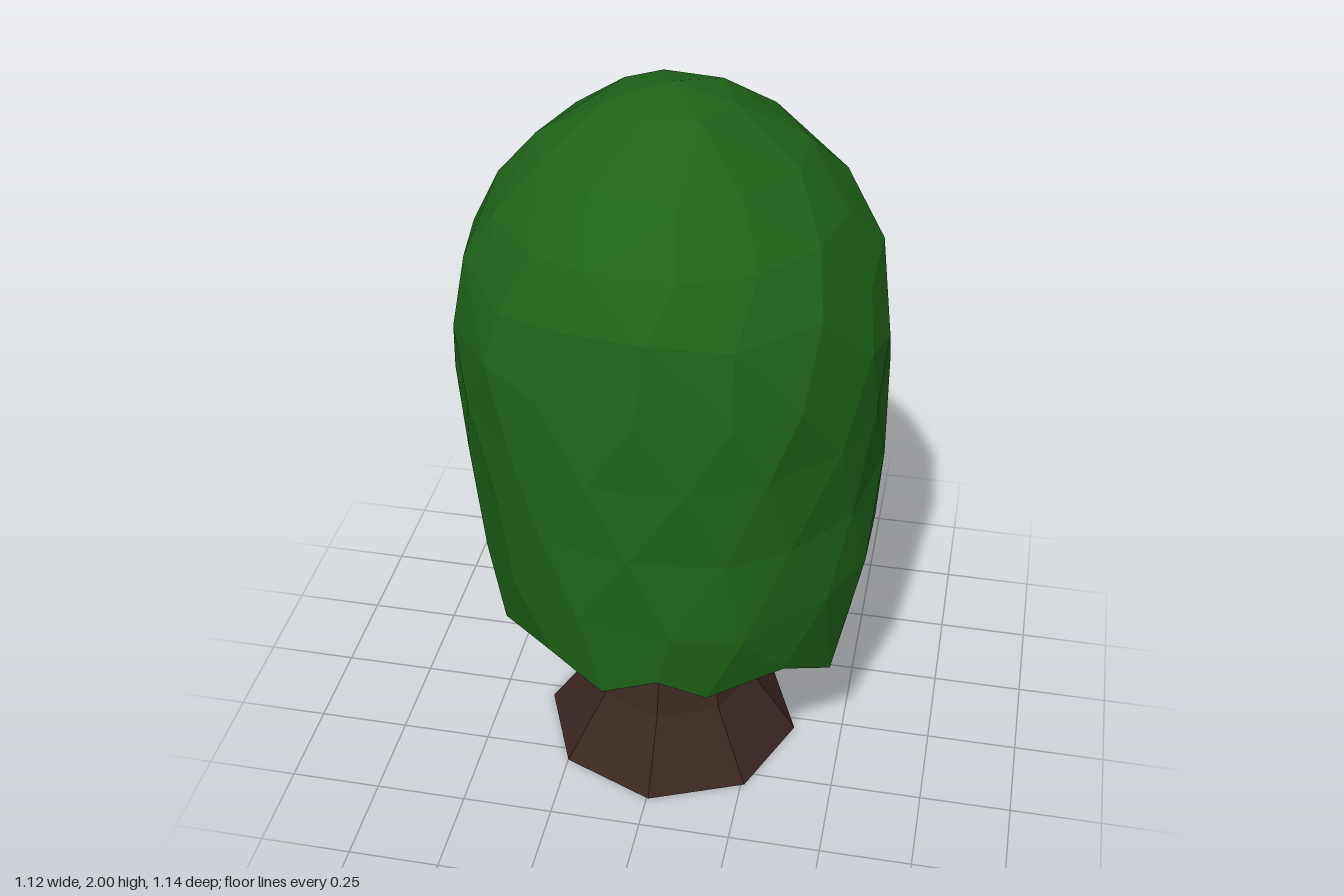
import * as THREE from 'three';

const TAU = Math.PI * 2;

// Seeded noise in -1..1
function seeded(seed) {
  return () => {
    seed = (seed * 16807) % 2147483647;
    return (seed / 2147483647) * 2 - 1;
  };
}

// Ragged hem: [angle in degrees from +x towards +z, height]
const HEM = [
  [0, 0.475], [22, 0.41], [45, 0.54], [70, 0.51], [85, 0.57], [102, 0.5],
  [120, 0.56], [150, 0.5], [180, 0.48], [215, 0.45], [240, 0.49],
  [270, 0.53], [300, 0.455], [320, 0.48], [345, 0.505],
];

// Canopy rings from the hem upwards: [sides, radius, height, x shift, z shift]
const RINGS = [
  [15, 0.542, 0.73, 0.02, 0.022], [16, 0.562, 0.97, 0.005, 0.005],
  [16, 0.573, 1.2, 0, 0], [16, 0.57, 1.39, 0, 0], [15, 0.528, 1.57, 0, 0.01],
  [14, 0.455, 1.71, 0, 0.01], [11, 0.34, 1.84, 0, 0.01], [7, 0.16, 1.965, 0, 0.01],
];

function canopyGeometry() {
  const rand = seeded(71);
  const rings = [];

  // Hem points, then slightly irregular rings; each point keeps its angle
  const point = (angle, r, y, dx, dz) => ({
    angle,
    xyz: [dx + Math.cos(angle) * r * 0.985, y, dz + Math.sin(angle) * r],
  });
  rings.push(HEM.map(([d, h]) => point(THREE.MathUtils.degToRad(d), 0.505 + rand() * 0.01, h, 0.015, 0.03)));
  RINGS.forEach(([n, r, y, dx, dz], i) => {
    rings.push(Array.from({ length: n }, (_, j) => {
      const angle = ((j + (i % 2 ? 0 : 0.5) + rand() * 0.14) / n) * TAU;
      return point(angle, r + rand() * 0.006, y + rand() * (i > 4 ? 0.01 : 0.03), dx, dz);
    }));
  });

  // Join neighbouring rings, always stepping to the nearer next angle
  const pos = [];
  const tri = (...corners) => corners.forEach((c) => pos.push(...c.xyz));
  const at = (ring, k) => ring[k % ring.length];
  const turn = (ring, k) => at(ring, k).angle + (k >= ring.length ? TAU : 0);
  for (let i = 0; i < rings.length - 1; i++) {
    const lo = rings[i], hi = rings[i + 1];
    let a = 0, b = 0;
    while (a < lo.length || b < hi.length) {
      const stepLow = b >= hi.length ||
        (a < lo.length && turn(lo, a + 1) + turn(lo, a) < turn(hi, b + 1) + turn(hi, b));
      if (stepLow) {
        tri(at(lo, a + 1), at(lo, a), at(hi, b));
        a++;
      } else {
        tri(at(lo, a), at(hi, b), at(hi, b + 1));
        b++;
      }
    }
  }

  // Crown tip
  const last = rings[rings.length - 1];
  last.forEach((p, j) => tri(at(last, j + 1), p, { xyz: [0, 2, 0.01] }));

  const geo = new THREE.BufferGeometry();
  geo.setAttribute('position', new THREE.Float32BufferAttribute(pos, 3));
  geo.computeVertexNormals();
  return geo;
}

export function createModel() {
  const tree = new THREE.Group();
  tree.name = 'tree';

  const leaf = new THREE.MeshStandardMaterial({ color: 0x1e6419, flatShading: true, side: THREE.DoubleSide });
  const bark = new THREE.MeshStandardMaterial({ color: 0x3b2721, flatShading: true, side: THREE.DoubleSide });

  // Hollow foliage dome
  const canopy = new THREE.Mesh(canopyGeometry(), leaf);
  canopy.name = 'canopy';
  tree.add(canopy);

  // Eight-sided trunk with a flared, open foot
  const profile = [[0.36, 0], [0.23, 0.19], [0.17, 0.44], [0.165, 0.9]];
  const trunk = new THREE.Mesh(
    new THREE.LatheGeometry(profile.map(([r, y]) => new THREE.Vector2(r, y)), 8),
    bark
  );
  trunk.name = 'trunk';
  trunk.position.set(0.005, 0, 0.04);
  tree.add(trunk);

  return tree;
}
